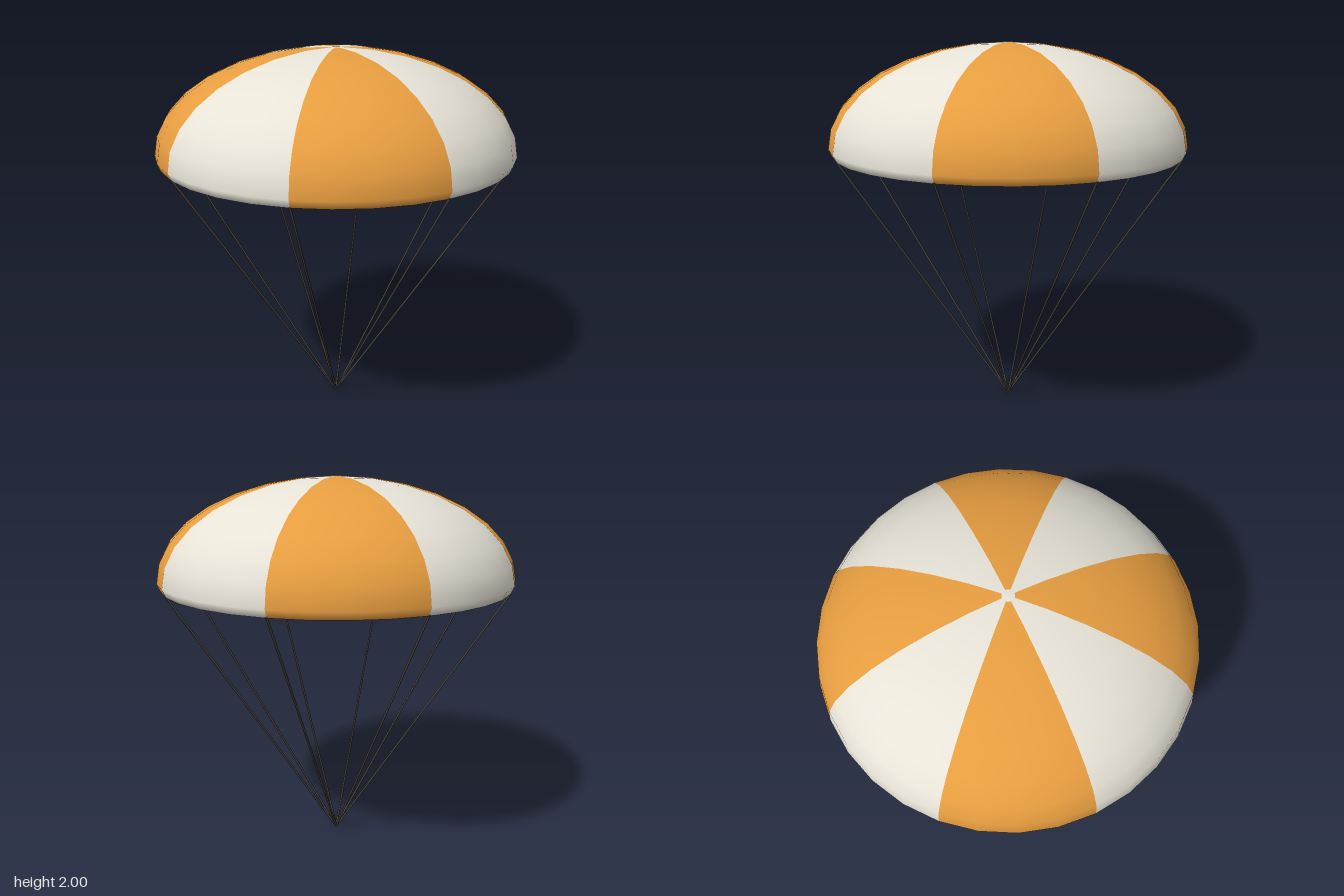
import * as THREE from 'three';

const RADIUS = 0.945, HEIGHT = 0.53, EQUATOR = 1.47, FLOOR = 1.43;
const GORES = 8, ROWS = 16, PATCH = 0.03;

// Squashed dome outline from bottom centre to crown, flattened underneath
function canopyProfile() {
  const points = [];
  for (let i = ROWS; i >= 0; i--) {
    const a = (i / ROWS) * Math.PI;
    const y = Math.max(FLOOR, EQUATOR + HEIGHT * Math.cos(a));
    points.push(new THREE.Vector2(RADIUS * Math.sin(a), y));
  }
  points[0].x = points[ROWS].x = 0;
  return points;
}

export function createModel() {
  const model = new THREE.Group();
  const orange = new THREE.MeshStandardMaterial({ color: 0xe89e40 });
  const cream = new THREE.MeshStandardMaterial({ color: 0xe8e4d8 });
  const cordGrey = new THREE.MeshStandardMaterial({ color: 0x4a4640 });
  const add = (name, geometry, material, parent) => {
    const mesh = new THREE.Mesh(geometry, material);
    mesh.name = name;
    parent.add(mesh);
    return mesh;
  };

  // Profile of one gore, cut short of the poles for the centre patches
  const profile = canopyProfile();
  const cut = (pole, next) => pole.clone().lerp(next, PATCH / next.x);
  const lowCut = cut(profile[0], profile[1]);
  const highCut = cut(profile[ROWS], profile[ROWS - 1]);
  const goreProfile = [lowCut, ...profile.slice(1, ROWS), highCut];

  // Canopy of alternating gores
  const canopy = new THREE.Group();
  canopy.name = 'canopy';
  model.add(canopy);
  const step = (Math.PI * 2) / GORES;
  for (let i = 0; i < GORES; i++) {
    add('gore', new THREE.LatheGeometry(goreProfile, 4, i * step, step), i % 2 ? cream : orange, canopy);
  }
  add('crownPatch', new THREE.LatheGeometry([highCut, profile[ROWS]], GORES * 4), cream, canopy);
  add('undersidePatch', new THREE.LatheGeometry([profile[0], lowCut], GORES * 4), cream, canopy);

  // Cords from the rim seams down to one point
  const cords = new THREE.Group();
  cords.name = 'cords';
  model.add(cords);
  const up = new THREE.Vector3(0, 1, 0);
  for (let i = 0; i < GORES; i++) {
    const end = new THREE.Vector3(0.928 * Math.sin(i * step), FLOOR + 0.005, 0.928 * Math.cos(i * step));
    const cord = add('cord', new THREE.CylinderGeometry(0.006, 0.006, end.length(), 6), cordGrey, cords);
    cord.position.copy(end).multiplyScalar(0.5);
    cord.quaternion.setFromUnitVectors(up, end.clone().normalize());
  }
  return model;
}
